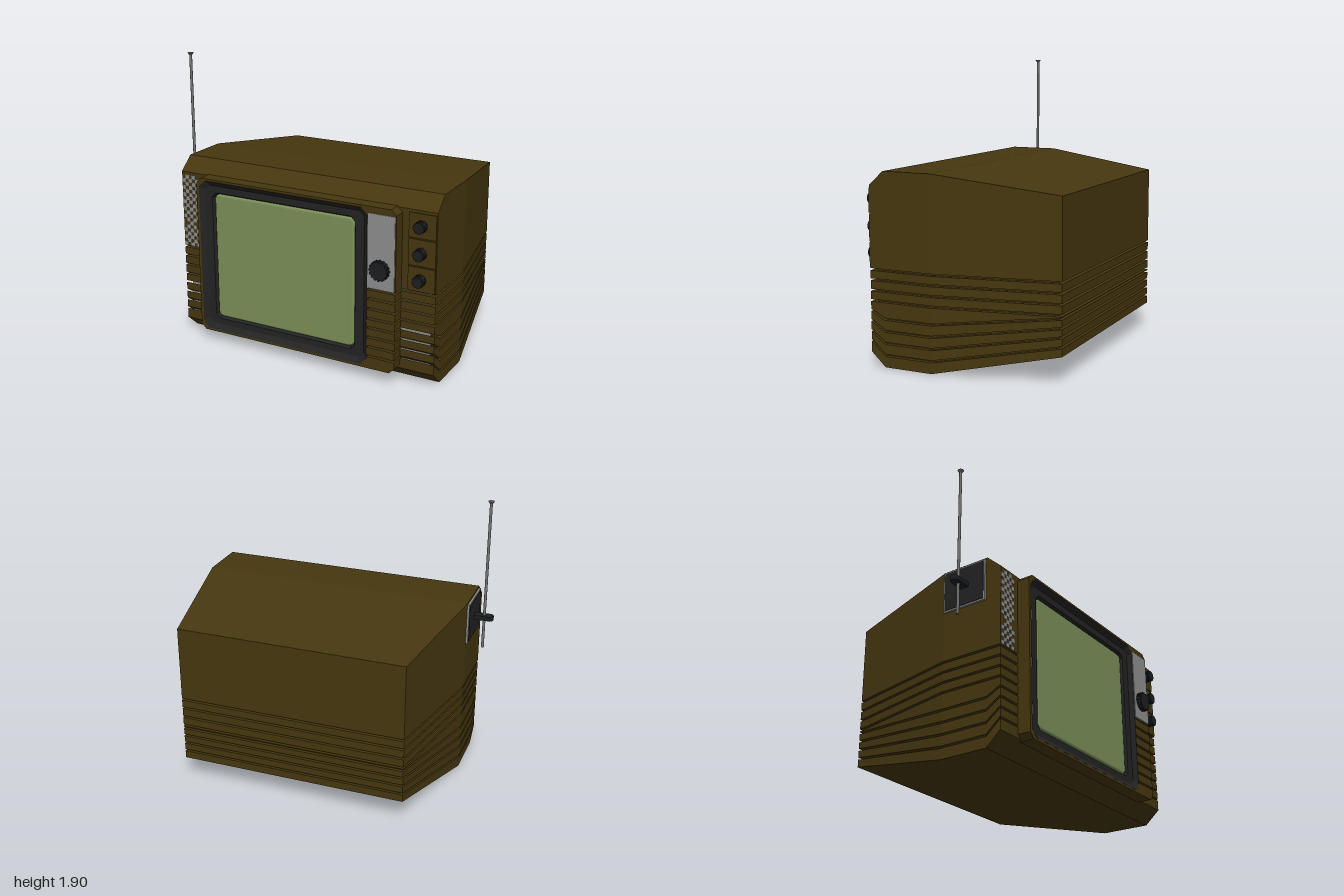
import * as THREE from 'three';
import { mergeGeometries } from 'three/addons/utils/BufferGeometryUtils.js';

const mat = (name, color, side = THREE.FrontSide) => {
  const m = new THREE.MeshStandardMaterial({ color, side });
  m.name = name;
  return m;
};

export function createModel() {
  const brown = mat('brown plastic', 0x46370f);
  const black = mat('black plastic', 0x232323, THREE.DoubleSide);
  const knobMat = mat('knob charcoal', 0x1c1e20);
  const silver = mat('silver trim', 0x8e8e8e);
  const steel = mat('antenna steel', 0x747474);
  const green = mat('screen green', 0x7b8f58);

  const tv = new THREE.Group();
  tv.name = 'television';
  const add = (name, geo, material, x = 0, y = 0, z = 0) => {
    const m = new THREE.Mesh(geo, material);
    m.name = name;
    m.position.set(x, y, z);
    tv.add(m);
    return m;
  };
  // box given by its limits
  const boxGeo = (x0, x1, y0, y1, z0, z1) =>
    new THREE.BoxGeometry(x1 - x0, y1 - y0, z1 - z0)
      .translate((x0 + x1) / 2, (y0 + y1) / 2, (z0 + z1) / 2);

  const quads = (list) => {
    const pos = [];
    for (const [a, b, c, d] of list) pos.push(...a, ...b, ...c, ...a, ...c, ...d);
    const g = new THREE.BufferGeometry();
    g.setAttribute('position', new THREE.Float32BufferAttribute(pos, 3));
    g.computeVertexNormals();
    return g;
  };

  // Cabinet: slabs stacked between height lines, each given at four depths
  const Z = [0.56, 0.46, 0.13, -0.68];
  const XR = [1, 1, 1, 0.855];
  const XL = [-0.855, -0.855, -0.855, -0.69];
  const slab = (lo, hi, inset = 0) => {
    const z = [Z[0] - inset, Z[1], Z[2], Z[3] + inset];
    const ring = (lv) => [
      ...[0, 1, 2, 3].map((i) => [XR[i] - inset, lv[i], z[i]]),
      ...[3, 2, 1, 0].map((i) => [XL[i] + inset, lv[i], z[i]]),
    ];
    const a = ring(lo), b = ring(hi), list = [];
    for (let i = 0; i < 8; i++) {
      const j = (i + 1) % 8;
      list.push([a[i], a[j], b[j], b[i]]);
    }
    for (let i = 0; i < 3; i++) {
      list.push([b[i], b[i + 1], b[6 - i], b[7 - i]]);
      list.push([a[7 - i], a[6 - i], a[i + 1], a[i]]);
    }
    return quads(list);
  };
  const top = [1.15, 1.24, 1.24, 1.135];
  const bottom = [0.09, 0, 0, 0.17];
  const grooves = [
    [0.62, 0.62, 0.62, 0.62], [0.555, 0.555, 0.555, 0.555],
    [0.488, 0.488, 0.488, 0.488], [0.422, 0.422, 0.422, 0.422],
    [0.36, 0.31, 0.31, 0.402], [0.295, 0.232, 0.232, 0.345],
    [0.23, 0.155, 0.155, 0.288], [0.165, 0.077, 0.077, 0.228],
  ];
  const gap = 0.007;
  const shift = (lv, d) => lv.map((v) => v + d);
  let upper = top;
  for (const g of grooves) {
    add(upper === top ? 'cabinetTop' : 'cabinetRib', slab(shift(g, gap), upper), brown);
    upper = shift(g, -gap);
  }
  add('cabinetBase', slab(bottom, upper), brown);
  add('cabinetCore', slab(shift(bottom, 0.03), [0.68, 0.68, 0.68, 0.68], 0.03), brown);
  add('grooveLiner', boxGeo(-0.82, 0.965, 0.14, 0.64, 0.48, 0.537), silver);

  // Front panel with an opening for the tube and a notch for the ribs
  const oct = (x0, x1, y0, y1, c) => [
    [x0 + c, y0], [x1 - c, y0], [x1, y0 + c], [x1, y1 - c],
    [x1 - c, y1], [x0 + c, y1], [x0, y1 - c], [x0, y0 + c],
  ];
  const toV = (pts) => pts.map(([x, y]) => new THREE.Vector2(x, y));
  const outline = oct(-0.68, 0.77, 0.08, 1.155, 0.035);
  outline.splice(3, 0, [0.77, 0.158], [0.58, 0.158], [0.58, 0.627], [0.77, 0.627]);
  const panel = new THREE.Shape(toV(outline));
  panel.holes.push(new THREE.Path(toV(oct(-0.66, 0.575, 0.095, 1.14, 0.045))));
  add('frontPanel', new THREE.ExtrudeGeometry(panel, { depth: 0.135, bevelEnabled: false }),
    brown, 0, 0, 0.51);
  for (let i = 0; i < 7; i++) {
    add('panelRib', boxGeo(0.578, 0.77, grooves[i + 1][0] + gap, grooves[i][0] - gap, 0.55, 0.645), brown);
  }
  add('panelRibLiner', boxGeo(0.578, 0.75, 0.158, 0.627, 0.55, 0.622), silver);

  // Dark stepped surround of the screen
  const rings = [
    [oct(-0.66, 0.575, 0.095, 1.14, 0.045), 0.646],
    [oct(-0.625, 0.545, 0.13, 1.108, 0.035), 0.622],
    [oct(-0.572, 0.482, 0.172, 1.062, 0.03), 0.622],
    [oct(-0.555, 0.465, 0.19, 1.045, 0.02), 0.59],
  ].map(([pts, z]) => pts.map(([x, y]) => [x, y, z]));
  const frame = [];
  for (let k = 0; k < 3; k++) {
    for (let i = 0; i < 8; i++) {
      const j = (i + 1) % 8;
      frame.push([rings[k][i], rings[k][j], rings[k + 1][j], rings[k + 1][i]]);
    }
  }
  add('screenSurround', quads(frame), black);

  // Screen with rounded corners and a soft edge
  const s = new THREE.Shape();
  const [x0, x1, y0, y1, r] = [-0.545, 0.455, 0.2, 1.035, 0.025];
  s.moveTo(x0 + r, y0).lineTo(x1 - r, y0).quadraticCurveTo(x1, y0, x1, y0 + r)
    .lineTo(x1, y1 - r).quadraticCurveTo(x1, y1, x1 - r, y1)
    .lineTo(x0 + r, y1).quadraticCurveTo(x0, y1, x0, y1 - r)
    .lineTo(x0, y0 + r).quadraticCurveTo(x0, y0, x0 + r, y0);
  add('screen', new THREE.ExtrudeGeometry(s, {
    depth: 0.03, bevelThickness: 0.012, bevelSize: 0.014, bevelSegments: 3, curveSegments: 5,
  }), green, 0, 0, 0.572);

  // Tuning plate and dial
  add('tuningPlate', boxGeo(0.58, 0.763, 0.627, 1.113, 0.64, 0.649), silver);
  const cyl = (rt, rb, h, n = 24) => new THREE.CylinderGeometry(rt, rb, h, n);
  const knob = (name, x, y, z0, z1, rad) => {
    const h = z1 - z0;
    add(name, cyl(rad * 0.94, rad, h).rotateX(Math.PI / 2), knobMat, x, y, z0 + h / 2);
    const teeth = [];
    for (let i = 0; i < 16; i++) {
      teeth.push(new THREE.BoxGeometry(rad * 0.16, rad * 0.12, h * 0.9)
        .translate(0, rad, 0).rotateZ((i * Math.PI) / 8));
    }
    add(name + 'Grip', mergeGeometries(teeth), knobMat, x, y, z0 + h / 2);
  };
  knob('tuningDial', 0.668, 0.76, 0.645, 0.68, 0.062);

  // Three control plates with knobs
  [[0.975, 1.132, 1.055], [0.797, 0.967, 0.88], [0.632, 0.789, 0.71]].forEach(([a, b, y]) => {
    add('controlPlate', boxGeo(0.815, 0.995, a, b, 0.555, 0.568), brown);
    knob('controlKnob', 0.9, y, 0.565, 0.62, 0.036);
  });

  // Speaker grille: staggered silver squares in three groups
  const dots = [];
  const cell = 0.0255;
  for (let row = 0; row < 20; row++) {
    for (let col = 0; col < 5; col++) {
      if ((row + col) % 2 || row % 7 === 6 && col % 4 === 0) continue;
      const x = -0.838 + col * cell, y = 0.642 + row * 0.025;
      dots.push(boxGeo(x - 0.014, x + 0.014, y - 0.0135, y + 0.0135, 0.555, 0.564));
    }
  }
  add('speakerGrille', mergeGeometries(dots), silver);

  // Antenna mount, arm and rod
  add('antennaPlateRim', boxGeo(-0.869, -0.85, 0.95, 1.228, 0.135, 0.45), silver);
  add('antennaPlate', boxGeo(-0.873, -0.868, 0.96, 1.218, 0.145, 0.44), black);
  add('antennaArm', boxGeo(-0.97, -0.868, 1.073, 1.103, 0.27, 0.33), knobMat);
  add('antennaArmEnd', cyl(0.03, 0.03, 0.03), knobMat, -0.97, 1.088, 0.3);
  add('antennaRod', cyl(0.0095, 0.0095, 1.02, 12), steel, -0.936, 1.375, 0.3);
  add('antennaTip', cyl(0.021, 0.01, 0.016, 16), steel, -0.936, 1.892, 0.3);
  return tv;
}
